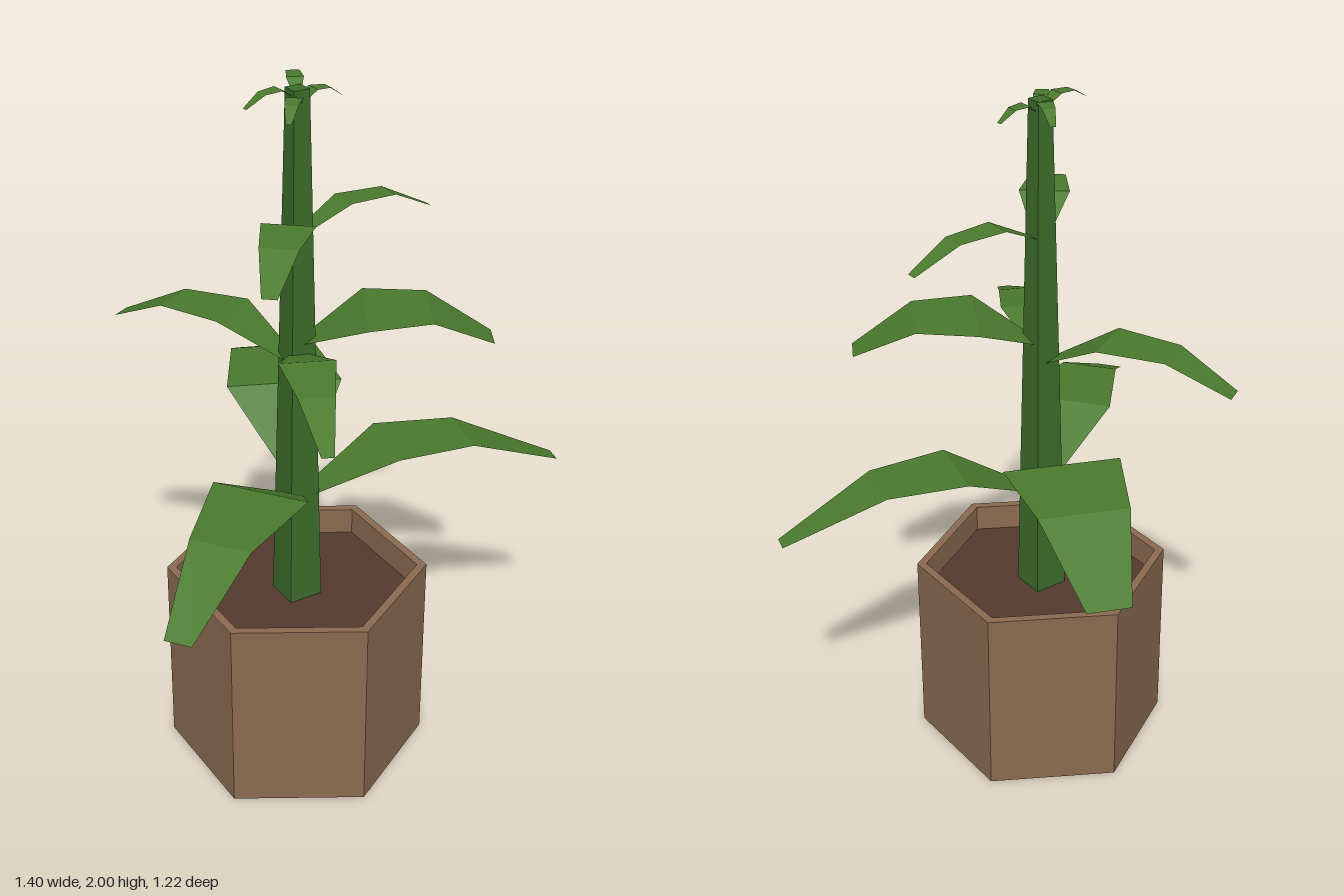
import * as THREE from 'three';

const flat = (color, side = THREE.FrontSide) =>
  new THREE.MeshStandardMaterial({ color, side, flatShading: true });

// Horizontal position of the pot and stalk axis
const AXIS_X = -0.06, AXIS_Z = 0.11;

// Arched leaf blade: cross-sections of [distance, height, width] along a heading (dx, dz)
function leafGeometry(dx, dz, sections) {
  const len = Math.hypot(dx, dz), ux = dx / len, uz = dz / len;
  const positions = [], index = [];
  sections.forEach(([d, y, w], i) => {
    for (const s of [-0.5, 0.5]) {
      positions.push(ux * d - uz * w * s, y, uz * d + ux * w * s);
    }
    if (i > 0) {
      const a = 2 * i - 2;
      index.push(a, a + 1, a + 2, a + 1, a + 3, a + 2);
    }
  });
  const g = new THREE.BufferGeometry();
  g.setAttribute('position', new THREE.Float32BufferAttribute(positions, 3));
  g.setIndex(index);
  g.computeVertexNormals();
  return g;
}

export function createModel() {
  const model = new THREE.Group();
  const plant = new THREE.Group();
  plant.name = 'pottedPlant';
  plant.position.set(AXIS_X, 0, AXIS_Z);
  model.add(plant);

  const add = (name, geometry, material, y = 0) => {
    const mesh = new THREE.Mesh(geometry, material);
    mesh.name = name;
    mesh.position.y = y;
    plant.add(mesh);
    return mesh;
  };

  // Hexagonal pot with a thin rim, and soil inside
  const potProfile = [[0, 0], [0.37, 0], [0.37, 0.58], [0.343, 0.58], [0.343, 0.49]]
    .map(([r, y]) => new THREE.Vector2(r, y));
  add('pot', new THREE.LatheGeometry(potProfile, 6), flat(0x8a6a50));
  const soil = new THREE.CircleGeometry(0.343, 6);
  soil.rotateX(-Math.PI / 2).rotateY(Math.PI / 6);
  add('soil', soil, flat(0x553a2d), 0.5);

  // Square tapering stalk
  const stalk = new THREE.CylinderGeometry(0.032, 0.071, 1.49, 4);
  stalk.rotateY(Math.PI / 4);
  add('stalk', stalk, flat(0x3c6b2a), 0.5 + 1.49 / 2);

  // Leaves: heading to the tip, distances, heights and widths from base to tip
  const leafMaterial = flat(0x4a7a2d, THREE.DoubleSide);
  const leaves = [
    { to: [0.755, 0.19], d: [0.26, 0.49], y: [0.81, 0.945, 0.94, 0.815], w: [0.22, 0.17, 0.05] },
    { to: [-0.62, 0.47], d: [0.26, 0.52], y: [0.82, 0.975, 0.965, 0.84], w: [0.27, 0.17, 0.075] },
    { to: [0.295, -0.70], d: [0.25, 0.50], y: [0.86, 1.04, 1.035, 0.905], w: [0.33, 0.25, 0.12] },
    { to: [-0.20, 0.475], d: [0.18, 0.34], y: [1.26, 1.325, 1.305, 1.235], w: [0.15, 0.095, 0.033] },
    { to: [-0.28, -0.495], d: [0.20, 0.39], y: [1.23, 1.34, 1.335, 1.25], w: [0.165, 0.125, 0.055] },
    { to: [0.455, 0.253], d: [0.18, 0.35], y: [1.29, 1.385, 1.39, 1.30], w: [0.27, 0.21, 0.085] },
    { to: [-0.27, 0.32], d: [0.14, 0.28], y: [1.60, 1.685, 1.68, 1.61], w: [0.14, 0.10, 0.04] },
    { to: [0.41, 0], d: [0.14, 0.28], y: [1.60, 1.67, 1.665, 1.60], w: [0.085, 0.07, 0.03] },
  ];
  leaves.forEach(({ to, d, y, w }, i) => {
    const dist = [0, ...d, Math.hypot(...to)], width = [0.035, ...w];
    add(`leaf${i + 1}`, leafGeometry(...to, dist.map((v, k) => [v, y[k], width[k]])), leafMaterial);
  });

  // Small sprouts at the crown
  const sprouts = [[0.07, -0.15, 1.97], [0.13, 0, 1.95], [-0.155, 0.01, 1.965], [-0.10, 0.125, 1.95]];
  sprouts.forEach(([dx, dz, tipY], i) => {
    const len = Math.hypot(dx, dz), top = tipY + 0.033;
    add(`crownLeaf${i + 1}`, leafGeometry(dx, dz, [
      [0, top - 0.04, 0.015], [len * 0.35, Math.min(top, 2), 0.045],
      [len * 0.68, top - 0.003, 0.035], [len, tipY, 0.015],
    ]), leafMaterial);
  });

  return model;
}
